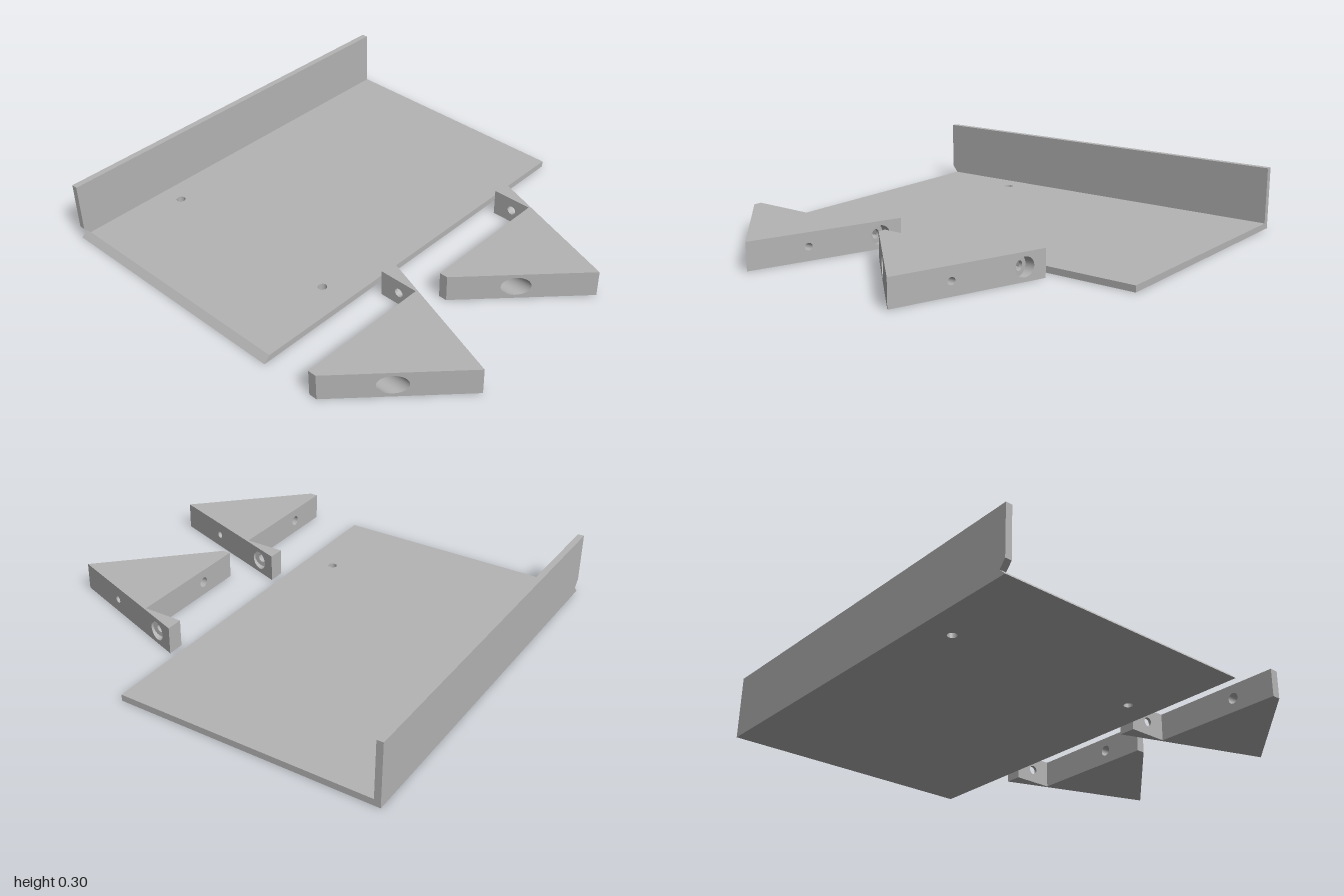
import * as THREE from 'three';
import { mergeGeometries } from 'three/addons/utils/BufferGeometryUtils.js';

const metal = new THREE.MeshStandardMaterial({ color: 0xb4b4b4, side: THREE.DoubleSide });
metal.name = 'grey metal';

const H = 0.13, MID = 0.065; // bracket height and bore height
const shapeOf = (pts) => new THREE.Shape(pts.map(([a, b]) => new THREE.Vector2(a, b)));
const ellipse = (x, y, rx, ry) => new THREE.Path().absellipse(x, y, rx, ry, 0, Math.PI * 2, true);

function mesh(geometry, name) {
  const m = new THREE.Mesh(geometry, metal);
  m.name = name;
  return m;
}

// Upright wall from p to q (x, z), with round holes cut along the x or z axis
function wall(p, q, holes = []) {
  const dx = q[0] - p[0], dz = q[1] - p[1], len = Math.hypot(dx, dz);
  const s = shapeOf([[0, 0], [len, 0], [len, H], [0, H]]);
  for (const { axis, c, r } of holes) {
    const run = axis === 'z' ? dx : dz;
    const start = axis === 'z' ? p[0] : p[1];
    s.holes.push(ellipse(((c - start) / run) * len, MID, (r * len) / Math.abs(run), r));
  }
  return new THREE.ShapeGeometry(s, 16).rotateY(-Math.atan2(dz, dx)).translate(p[0], 0, p[1]);
}

// Inside of a bore: its ends follow from(cross) and to(cross) along the axis
function bore(axis, c, r, from, to) {
  const g = new THREE.CylinderGeometry(r, r, 1, 32, 1, true).rotateX(Math.PI / 2);
  if (axis === 'x') g.rotateY(Math.PI / 2);
  const pos = g.attributes.position;
  for (let i = 0; i < pos.count; i++) {
    const along = axis === 'z' ? pos.getZ(i) : pos.getX(i);
    const cross = c + (axis === 'z' ? pos.getX(i) : pos.getZ(i));
    const d = along > 0 ? to(cross) : from(cross);
    if (axis === 'z') pos.setXYZ(i, cross, pos.getY(i) + MID, d);
    else pos.setXYZ(i, d, pos.getY(i) + MID, cross);
  }
  return g;
}

// Flat floor of a bore, with an optional smaller hole through it
function floor(axis, c, inner, outer, depth) {
  const g = inner ? new THREE.RingGeometry(inner, outer, 32) : new THREE.CircleGeometry(outer, 32);
  if (axis === 'z') return g.rotateY(Math.PI).translate(c, MID, depth);
  return g.rotateY(Math.PI / 2).translate(depth, MID, c);
}

function bracketGeometry() {
  const P = [[0.3, -0.485], [0.495, -0.485], [0.495, 0.155], [0.535, 0.155], [1, -0.315], [0.3, -0.565]];
  const backZ = (x) => -0.565 + ((x - 0.3) * 0.25) / 0.7;
  const slantX = (z) => 1 - ((z + 0.315) * 0.465) / 0.47;
  const at = (v) => () => v;
  const holes = {
    0: [{ axis: 'z', c: 0.4, r: 0.022 }],
    1: [{ axis: 'x', c: -0.06, r: 0.025 }],
    3: [{ axis: 'x', c: -0.06, r: 0.048 }],
    4: [{ axis: 'z', c: 0.4, r: 0.045 }, { axis: 'z', c: 0.73, r: 0.017 }],
  };
  const parts = P.map((p, i) => wall(p, P[(i + 1) % P.length], holes[i]));
  // Top and underside
  parts.push(new THREE.ShapeGeometry(shapeOf(P.map(([x, z]) => [x, -z]))).rotateX(-Math.PI / 2).translate(0, H, 0));
  parts.push(new THREE.ShapeGeometry(shapeOf(P)).rotateX(Math.PI / 2));
  // Counterbored screw hole through the tab
  parts.push(bore('z', 0.4, 0.045, backZ, at(-0.5)));
  parts.push(floor('z', 0.4, 0.022, 0.045, -0.5));
  parts.push(bore('z', 0.4, 0.022, at(-0.5), at(-0.485)));
  // Counterbored screw hole through the body
  parts.push(bore('x', -0.06, 0.048, at(0.55), slantX));
  parts.push(floor('x', -0.06, 0.025, 0.048, 0.55));
  parts.push(bore('x', -0.06, 0.025, at(0.495), at(0.55)));
  // Small blind hole in the long back face
  parts.push(bore('z', 0.73, 0.017, backZ, at(-0.29)));
  parts.push(floor('z', 0.73, 0, 0.017, -0.29));
  return mergeGeometries(parts);
}

// Base plate with two screw holes and a chamfered front edge
function plateGeometry() {
  const s = shapeOf([[-0.97, -0.96], [0.24, -0.96], [0.24, 0.96], [-0.97, 0.96]]);
  for (const x of [-0.86, 0.1]) s.holes.push(ellipse(x, -0.48, 0.021, 0.021));
  const g = new THREE.ExtrudeGeometry(s, { depth: 0.03, bevelEnabled: false, curveSegments: 16 });
  g.rotateX(-Math.PI / 2);
  const pos = g.attributes.position;
  for (let i = 0; i < pos.count; i++) {
    if (pos.getY(i) > 0.02 && pos.getZ(i) > 0.95) pos.setZ(i, 0.93);
  }
  g.computeVertexNormals();
  return g;
}

// Upright side flange with a V notch at its lower front corner
function flangeGeometry() {
  const s = shapeOf([[-0.96, 0], [0.96, 0], [0.93, 0.03], [0.96, 0.065], [0.96, 0.3], [-0.96, 0.3]]);
  return new THREE.ExtrudeGeometry(s, { depth: 0.03, bevelEnabled: false })
    .rotateY(-Math.PI / 2).translate(-0.97, 0, 0);
}

export function createModel() {
  const model = new THREE.Group();
  model.name = 'shelf with brackets';
  model.add(mesh(plateGeometry(), 'basePlate'), mesh(flangeGeometry(), 'sideFlange'));
  const bracket = bracketGeometry();
  [['backBracket', 0], ['frontBracket', 0.8]].forEach(([name, z]) => {
    const b = mesh(bracket, name);
    b.position.z = z;
    model.add(b);
  });
  return model;
}
